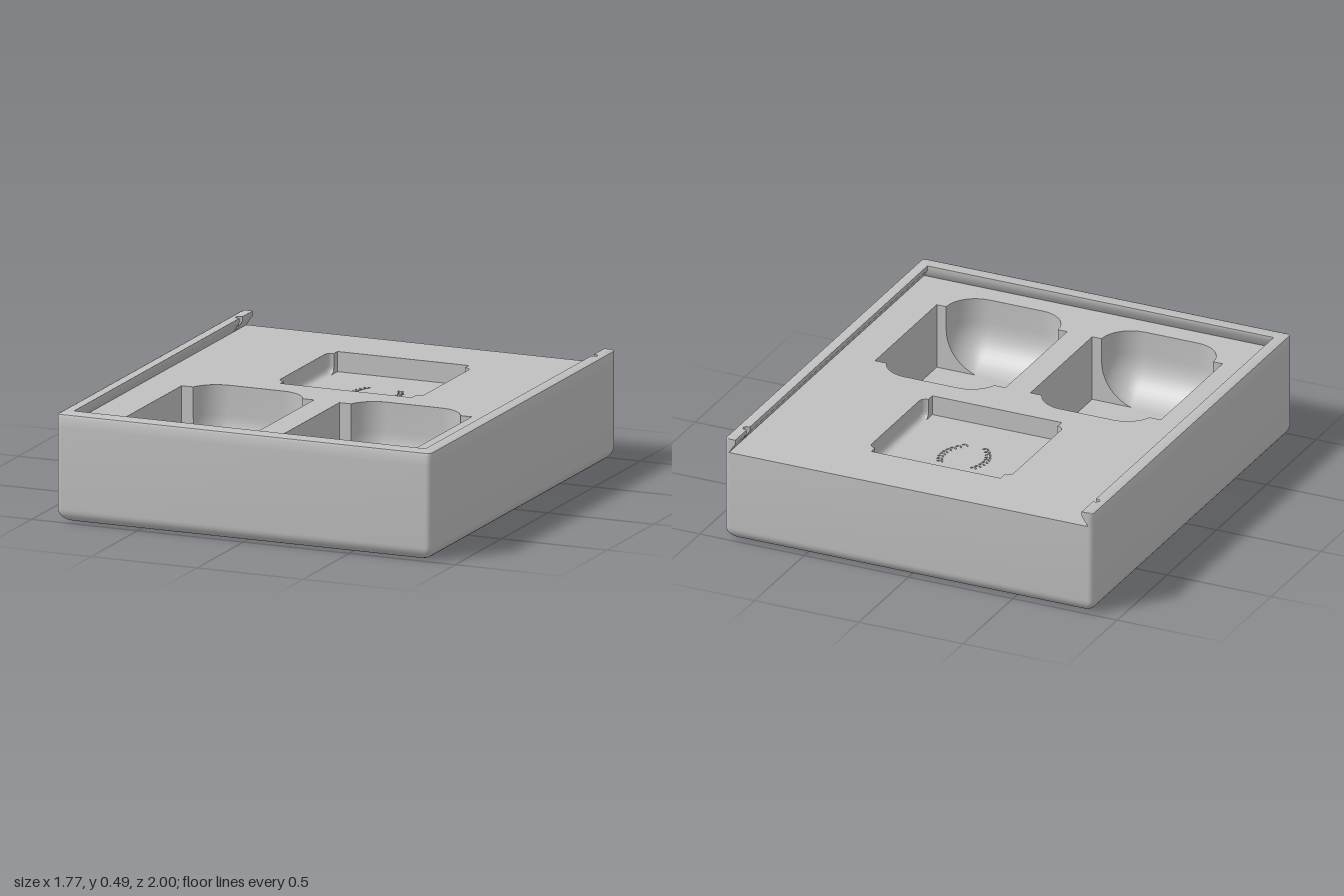
import * as THREE from 'three';
import { toCreasedNormals } from 'three/addons/utils/BufferGeometryUtils.js';

const W = 0.885, D = 1, H = 0.485, DECK = 0.42, EDGE = 0.025;
const grey = new THREE.MeshStandardMaterial({ color: 0xc0c0c0 });
grey.name = 'light grey';

function mesh(name, geometry) {
  const m = new THREE.Mesh(geometry, grey);
  m.name = name;
  return m;
}

// Skin between equal-length rows of [x, y, z] points
function loft(rows, closed, extra = []) {
  const pos = [];
  const n = rows[0].length;
  for (let j = 0; j < rows.length - 1; j++) {
    for (let k = 0; k < (closed ? n : n - 1); k++) {
      const a = rows[j][k], b = rows[j][(k + 1) % n];
      const c = rows[j + 1][k], d = rows[j + 1][(k + 1) % n];
      pos.push(...a, ...c, ...b, ...b, ...c, ...d);
    }
  }
  for (const t of extra) pos.push(...t);
  const g = new THREE.BufferGeometry();
  g.setAttribute('position', new THREE.Float32BufferAttribute(pos, 3));
  return toCreasedNormals(g, 0.6);
}

// Arc in the x-z plane
function arc(cx, cz, r, from, to, steps = 8) {
  return Array.from({ length: steps + 1 }, (_, s) => {
    const f = from + (to - from) * s / steps;
    return [cx + r * Math.cos(f), cz + r * Math.sin(f)];
  });
}

const toShape = pts => new THREE.Shape(pts.map(([x, z]) => new THREE.Vector2(x, -z)));

// Rounded outline of the box
function outline(inset) {
  const x = W - inset - EDGE, z = D - inset - EDGE, q = Math.PI / 2;
  return [
    ...arc(-x, -z, EDGE, 2 * q, 3 * q), ...arc(x, -z, EDGE, 3 * q, 4 * q),
    ...arc(x, z, EDGE, 0, q), ...arc(-x, z, EDGE, q, 2 * q),
  ];
}

// Outer walls with a rounded lower edge, plus the underside
function makeBody() {
  const R = 0.06, rows = [];
  for (let s = 0; s <= 8; s++) {
    const t = s / 8 * Math.PI / 2;
    rows.push(outline(R * (1 - Math.sin(t))).map(([x, z]) => [x, R * (1 - Math.cos(t)), z]));
  }
  rows.push(outline(0).map(([x, z]) => [x, DECK, z]));
  const r0 = rows[0];
  const base = r0.map((p, k) => [0, 0, 0, ...r0[(k + 1) % r0.length], ...p].slice(0, 9));
  // underside fan faces down
  const down = base.map(t => [t[0], t[1], t[2], t[6], t[7], t[8], t[3], t[4], t[5]]);
  const ny = (t) => (t[5] * t[6] - t[3] * t[8]);
  return loft(rows, true, ny(base[0]) < 0 ? base : down);
}

// Undercut rail around three sides, with a small catch notch near each open end
function makeRail() {
  const profile = [ // inset x, inset z, y, notch depth
    [0, 0, DECK, 0], [0, 0, 0.47, 0], [0.004, 0.004, 0.481, 0], [0.015, 0.015, H, 0],
    [0.055, 0.07, H, 0.025], [0.055, 0.07, 0.465, 0.025], [0.025, 0.04, DECK, 0],
  ];
  const rows = profile.map(([ix, iz, y, notch]) => {
    const r = Math.max(EDGE - ix, 0), x = W - ix, q = Math.PI / 2;
    const half = arc(x - r, -D + r, r, -q, 0);
    for (let s = 0; s <= 8; s++) {
      const t = s / 8 * Math.PI;
      half.push([x + notch * Math.sin(t), -0.87 - 0.016 * Math.cos(t)]);
    }
    half.push(...arc(x - r, D - iz - r, r, 0, q));
    const all = [...half, ...half.slice().reverse().map(([a, b]) => [-a, b])];
    return all.map(([a, b]) => [a, y, b]);
  });
  const caps = [], last = rows[0].length - 1;
  for (let k = 1; k < rows.length - 1; k++) {
    caps.push([...rows[0][0], ...rows[k + 1][0], ...rows[k][0]]);
    caps.push([...rows[0][last], ...rows[k][last], ...rows[k + 1][last]]);
  }
  return loft(rows, false, caps);
}

// Rows of a square pocket with a rounded finger scoop at two opposite ends
function pocketRows({ x, z, hx, hz, sx, back, front, r, R, floor, turned }) {
  const place = ([u, v], y) => turned ? [x - v, y, z + u] : [x + u, y, z + v];
  const half = (m, t, sign, top) => {
    const end = Math.acos(1 - m / R), inset = R * (1 - Math.cos(end * t));
    const y = top ? DECK : floor + R * (Math.sin(end) - Math.sin(end * t));
    const rad = Math.max(r - inset, 0);
    const a = rad > 1e-6 ? Math.asin(Math.min(1, (r - m) / rad)) : 0;
    const c = sx - r, v = -hz - m + r, P = Math.PI;
    const pts = [
      [-hx, -hz], ...arc(-c, v, rad, P + a, 1.5 * P),
      ...arc(c, v, rad, 1.5 * P, 2 * P - a), [hx, -hz],
    ];
    return pts.map(([p, q]) => place([p * sign, q * sign], y));
  };
  const row = (t, top) => [...half(back, t, 1, top), ...half(front, t, -1, top)];
  const rows = [row(0, true)];
  for (let s = 0; s <= 10; s++) rows.push(row(s / 10, false));
  return rows;
}

// Leaf outline from a base point along a direction
function leaf(x, z, dx, dz, width) {
  const l = Math.hypot(dx, dz), nx = -dz / l * width / 2, nz = dx / l * width / 2;
  const at = (t, s) => [x + dx * t + nx * s, z + dz * t + nz * s];
  return [at(0, 0), at(0.3, 0.8), at(0.55, 1), at(0.8, 0.6), at(1, 0),
    at(0.8, -0.6), at(0.55, -1), at(0.3, -0.8)];
}

// Pocket floor with leaves cut into it
function engravedFloor(name, x, z, hx, hz, y, leaves, depth) {
  const g = new THREE.Group();
  g.name = name;
  const rect = [[x - hx, z + hz], [x + hx, z + hz], [x + hx, z - hz], [x - hx, z - hz]];
  const shape = toShape(rect);
  shape.holes = leaves.map(toShape);
  const plate = new THREE.ExtrudeGeometry(shape, { depth, bevelEnabled: false });
  plate.rotateX(-Math.PI / 2).translate(0, y - depth, 0);
  const under = new THREE.PlaneGeometry(0.5, 0.5).rotateX(-Math.PI / 2).translate(x, y - depth + 0.0005, z);
  g.add(mesh('floorPlate', plate), mesh('engravingBase', under));
  return g;
}

export function createModel() {
  const model = new THREE.Group();
  model.name = 'slidingLidTray';
  model.add(mesh('outerBody', makeBody()), mesh('lidRail', makeRail()));
  const openings = [];

  function addPocket(name, p, leaves, depth) {
    const rows = pocketRows(p);
    openings.push(rows[0].map(([x, , z]) => [x, z]));
    const [fx, fz] = p.turned ? [p.hz, p.hx] : [p.hx, p.hz];
    model.add(mesh(name + 'Walls', loft(rows, true)));
    model.add(engravedFloor(name + 'Floor', p.x, p.z, fx, fz, p.floor, leaves, depth));
  }

  // Two deep pockets, each with a sprig on the floor
  for (const side of [-1, 1]) {
    const x = side * 0.3725, z = 0.44;
    const sprig = [
      leaf(x, z - 0.015, 0, -0.125, 0.055),
      leaf(x - 0.012, z - 0.011, -0.09, -0.085, 0.05),
      leaf(x - 0.012, z + 0.006, -0.09, 0.058, 0.045),
      leaf(x + 0.004, z + 0.003, 0.106, 0.07, 0.008),
    ];
    addPocket(side < 0 ? 'rightPocket' : 'leftPocket', {
      x, z: 0.41, hx: 0.3125, hz: 0.31, sx: 0.2675,
      back: 0.09, front: 0.14, r: 0.14, R: 0.2, floor: 0.12,
    }, sprig, 0.006);
  }

  // Shallow pocket with a leafy wreath on the floor
  const wreath = [];
  for (const side of [-1, 1]) {
    for (let i = 0; i < 9; i++) {
      const t = i / 8;
      const x = side * (0.08 - 0.03 * t + 0.14 * t * (1 - t)), z = -0.505 + 0.19 * t;
      for (const s of [-1, 1]) wreath.push(leaf(x + s * 0.002, z, s * 0.013, -0.017, 0.009));
    }
  }
  addPocket('shallowPocket', {
    x: 0, z: -0.4175, hx: 0.3075, hz: 0.31, sx: 0.2675,
    back: 0.03, front: 0.03, r: 0.03, R: 0.03, floor: 0.33, turned: true,
  }, wreath, 0.02);

  // Deck with the pocket openings cut out
  const deck = toShape(outline(0));
  deck.holes = openings.map(toShape);
  const deckGeometry = new THREE.ShapeGeometry(deck).rotateX(-Math.PI / 2).translate(0, DECK, 0);
  model.add(mesh('deck', deckGeometry));
  return model;
}
